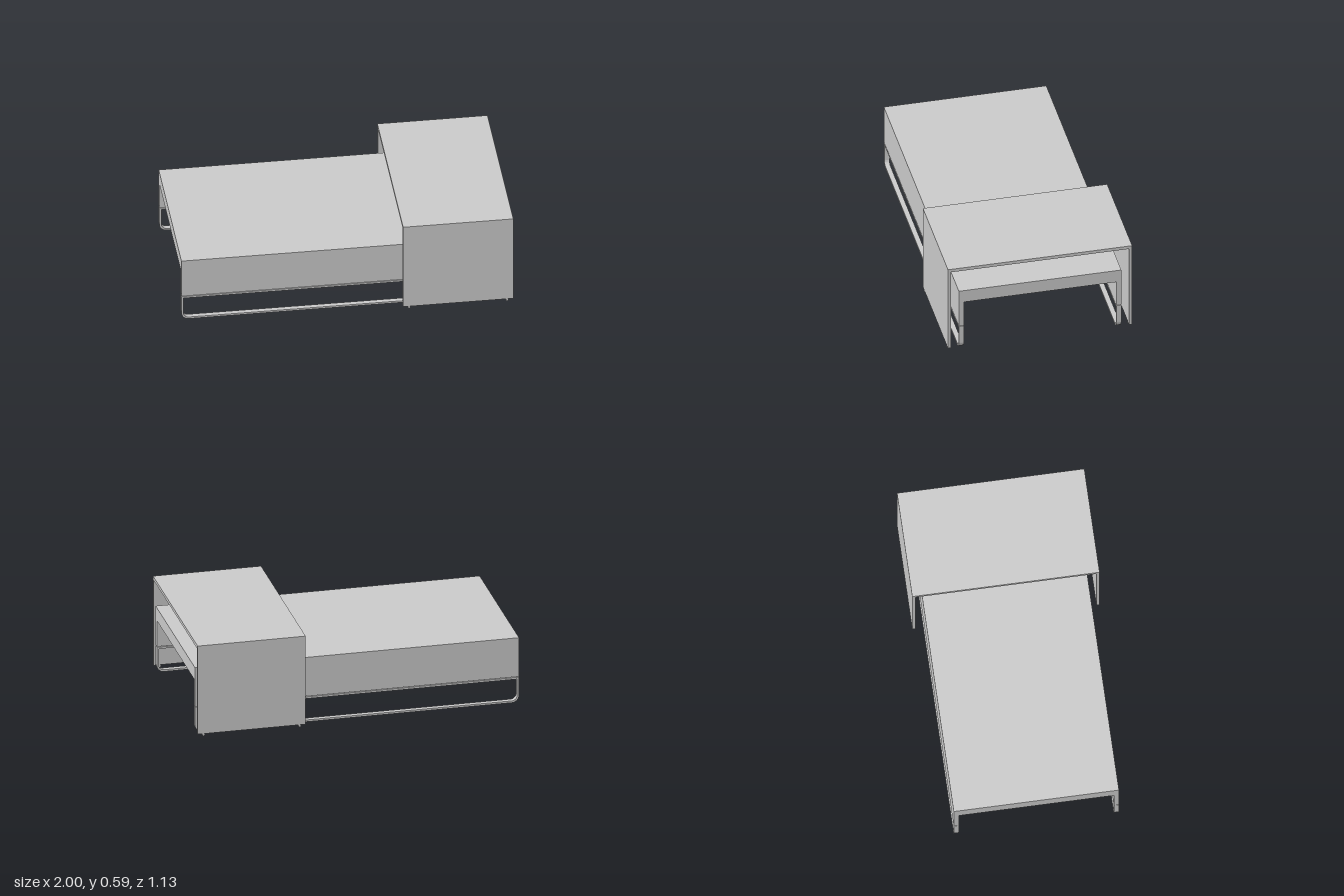
import * as THREE from 'three';
import { toCreasedNormals } from 'three/addons/utils/BufferGeometryUtils.js';

const material = new THREE.MeshStandardMaterial({ color: 0xcccccc });

function addMesh(parent, name, geometry, x = 0, y = 0, z = 0) {
  const mesh = new THREE.Mesh(geometry, material);
  mesh.name = name;
  mesh.position.set(x, y, z);
  parent.add(mesh);
  return mesh;
}

// Upside-down U in the z-y plane, extruded along x from x0 to x1
function bridge(parent, name, { x0, x1, half, bottom, top, side, slab }) {
  const shape = new THREE.Shape([
    [-half, bottom], [-half + side, bottom], [-half + side, top - slab],
    [half - side, top - slab], [half - side, bottom], [half, bottom],
    [half, top], [-half, top],
  ].map(([a, b]) => new THREE.Vector2(a, b)));
  const geometry = new THREE.ExtrudeGeometry(shape, { depth: x1 - x0, bevelEnabled: false });
  geometry.rotateY(Math.PI / 2);
  return addMesh(parent, name, geometry, x0);
}

// Rectangle with rounded lower corners and square upper corners
function traceLoop(path, halfWidth, y0, y1, r) {
  path.moveTo(-halfWidth, y1);
  path.lineTo(-halfWidth, y0 + r);
  path.absarc(-halfWidth + r, y0 + r, r, Math.PI, Math.PI * 1.5, false);
  path.lineTo(halfWidth - r, y0);
  path.absarc(halfWidth - r, y0 + r, r, -Math.PI / 2, 0, false);
  path.lineTo(halfWidth, y1);
  path.closePath();
  return path;
}

export function createModel() {
  const model = new THREE.Group();
  model.name = 'nestingTables';

  // Long low table with a thick top and side aprons
  const lowTable = new THREE.Group();
  lowTable.name = 'lowTable';
  model.add(lowTable);
  bridge(lowTable, 'lowTableTop', {
    x0: -1, x1: 1, half: 0.5, bottom: 0.168, top: 0.42, side: 0.031, slab: 0.083,
  });

  // Flat-bar sled frames just below the aprons
  const bar = 0.012, depth = 0.031;
  const loop = traceLoop(new THREE.Shape(), 1, 0.002, 0.164, 0.045);
  loop.holes.push(traceLoop(new THREE.Path(), 1 - bar, 0.002 + bar, 0.164 - bar, 0.045 - bar));
  const sled = toCreasedNormals(
    new THREE.ExtrudeGeometry(loop, { depth, bevelEnabled: false, curveSegments: 12 }), 0.5);
  addMesh(lowTable, 'sledFrameFront', sled, 0, 0, 0.5 - depth);
  addMesh(lowTable, 'sledFrameBack', sled, 0, 0, -0.5);

  // Taller thin-walled table straddling the left end
  const tallTable = new THREE.Group();
  tallTable.name = 'tallTable';
  model.add(tallTable);
  bridge(tallTable, 'tallTableShell', {
    x0: 0.333, x1: 1, half: 0.567, bottom: 0.015, top: 0.587, side: 0.019, slab: 0.021,
  });

  // Small rollers under the side panels
  const wheel = new THREE.CylinderGeometry(0.008, 0.008, 0.018, 16);
  wheel.rotateX(Math.PI / 2);
  for (const x of [0.37, 0.963]) {
    for (const z of [-0.5575, 0.5575]) addMesh(tallTable, 'roller', wheel, x, 0.008, z);
  }
  return model;
}
